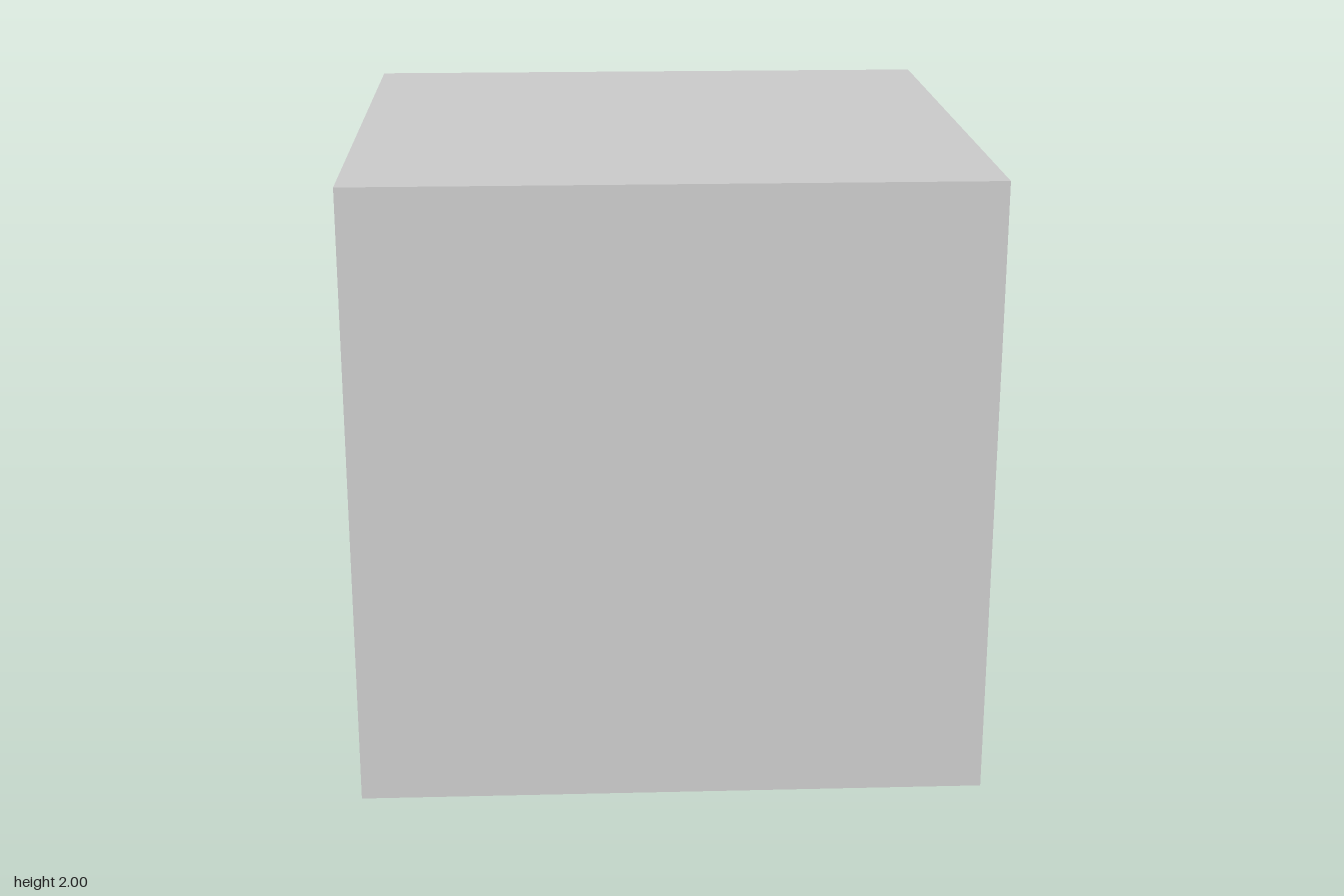
import * as THREE from 'three';

export function createModel() {
  const model = new THREE.Group();
  model.name = 'cubeBlock';

  const lightGrey = new THREE.MeshStandardMaterial({ color: 0xcccccc });
  lightGrey.name = 'light grey';

  // Solid cube with flush, sharp-edged faces, standing on the ground
  const size = 2;
  const block = new THREE.Mesh(new THREE.BoxGeometry(size, size, size), lightGrey);
  block.name = 'block';
  block.position.y = size / 2;
  model.add(block);

  return model;
}
